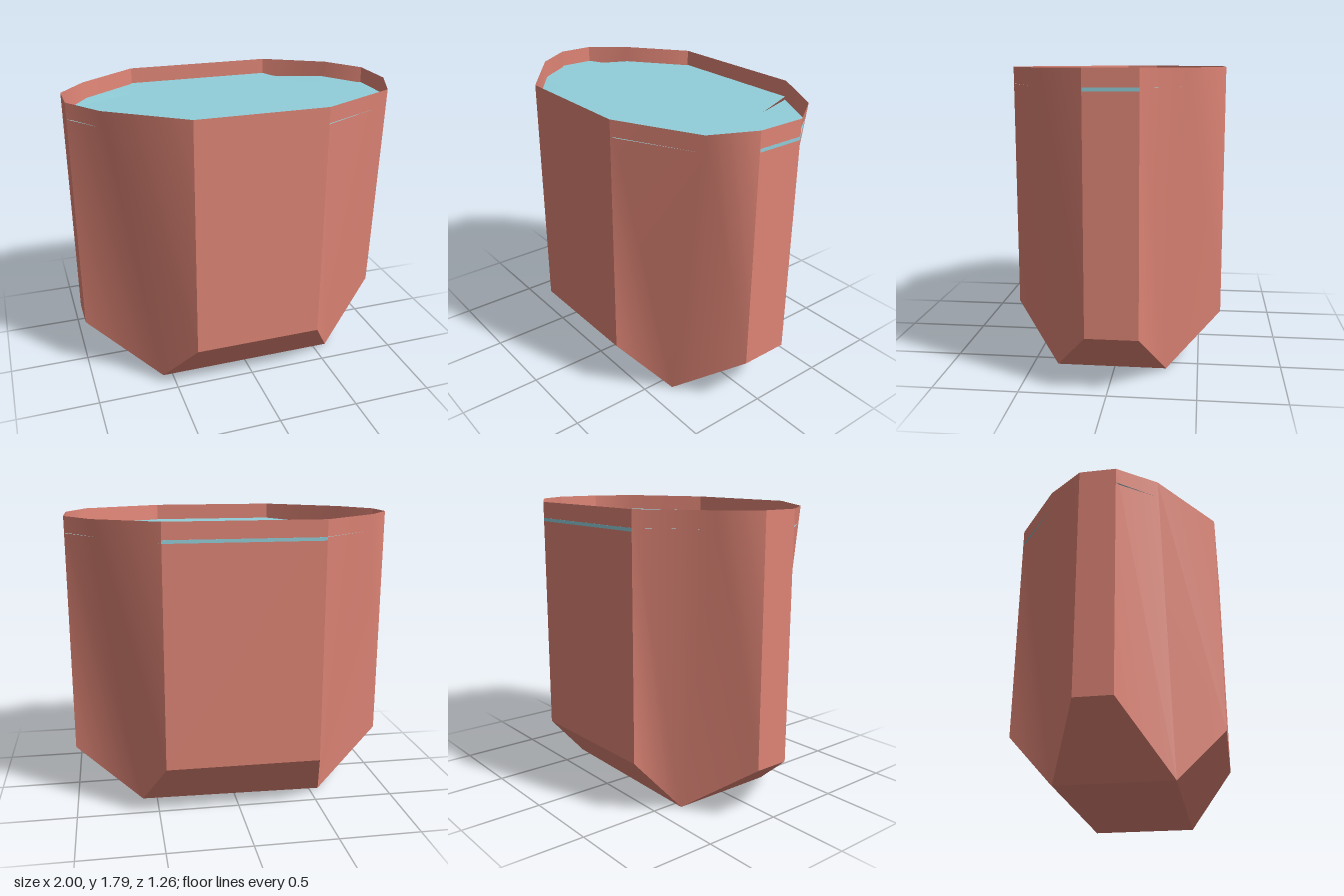
import * as THREE from 'three';
import { mergeGeometries } from 'three/addons/utils/BufferGeometryUtils.js';

const TOP = 1.79, SHOULDER = 0.33, WATER = 1.69, DIP = 1.67;

// Four bevelled corners, counter-clockwise from the front right:
// rim start, rim middle, rim end and foot, each as [x, z]
const CORNERS = [
  { start: [0.39, 0.63], mid: [0.88, 0.39], end: [1, 0.12], foot: [0.59, 0.35] },
  { start: [1, -0.18], mid: [0.84, -0.41], end: [0.46, -0.63], foot: [0.59, -0.31] },
  { start: [-0.48, -0.63], mid: [-0.84, -0.35], end: [-1, -0.14], foot: [-0.56, -0.34] },
  { start: [-1, 0.08], mid: [-0.84, 0.31], end: [-0.40, 0.63], foot: [-0.56, 0.35] },
];

const at = ([x, z], y) => [x, y, z];

// One panel: smooth inside, sharp against its neighbours
function panel(points, triangles) {
  const g = new THREE.BufferGeometry();
  g.setAttribute('position', new THREE.Float32BufferAttribute(points.flat(), 3));
  g.setIndex(triangles);
  g.computeVertexNormals();
  return g;
}
const quad = (a, b, c, d) => panel([a, b, c, d], [0, 1, 2, 0, 2, 3]);

// Bevelled corner that spreads from a single foot up to the rim
function cornerPanel({ start, mid, end, foot }) {
  return panel([
    at(foot, 0), at(start, SHOULDER), at(end, SHOULDER),
    at(start, TOP), at(mid, TOP), at(end, TOP),
  ], [1, 0, 3, 0, 4, 3, 0, 2, 4, 2, 5, 4]);
}

// Water in a corner, dipping slightly towards one end
function cornerWater({ start, mid, end, foot }) {
  const inner = mid.map((v, k) => foot[k] + (v - foot[k]) * WATER / TOP);
  return panel([at(foot, WATER), at(start, WATER), at(inner, WATER), at(end, DIP)],
    [0, 1, 2, 0, 2, 3]);
}

export function createModel() {
  const model = new THREE.Group();
  const red = new THREE.MeshStandardMaterial({ color: 0xdf8576, side: THREE.DoubleSide });
  const teal = new THREE.MeshStandardMaterial({ color: 0x91cfda, side: THREE.DoubleSide });
  const add = (name, geometry, material) => {
    const mesh = new THREE.Mesh(geometry, material);
    mesh.name = name;
    model.add(mesh);
    return mesh;
  };

  // Walls, undersides and corners of the tub, with the water beside each
  const walls = [], slopes = [], water = [];
  CORNERS.forEach((c, i) => {
    const n = CORNERS[(i + 1) % 4];
    walls.push(quad(at(c.end, SHOULDER), at(n.start, SHOULDER), at(n.start, TOP), at(c.end, TOP)));
    slopes.push(quad(at(c.foot, 0), at(n.foot, 0), at(n.start, SHOULDER), at(c.end, SHOULDER)));
    water.push(
      cornerWater(c),
      quad(at(c.foot, WATER), at(c.end, WATER), at(n.start, WATER), at(n.foot, WATER)),
      quad(at(c.end, DIP), at(n.start, DIP), at(n.start, WATER), at(c.end, WATER)),
    );
  });
  water.push(quad(...CORNERS.map((c) => at(c.foot, WATER))));

  add('walls', mergeGeometries(walls), red);
  add('slopedUndersides', mergeGeometries(slopes), red);
  add('bevelledCorners', mergeGeometries(CORNERS.map(cornerPanel)), red);
  add('floor', quad(...CORNERS.map((c) => at(c.foot, 0)).reverse()), red);

  // The water sits a hair off centre, showing as a thin line on two sides
  add('water', mergeGeometries(water), teal).position.set(0.001, 0, -0.001);

  return model;
}
